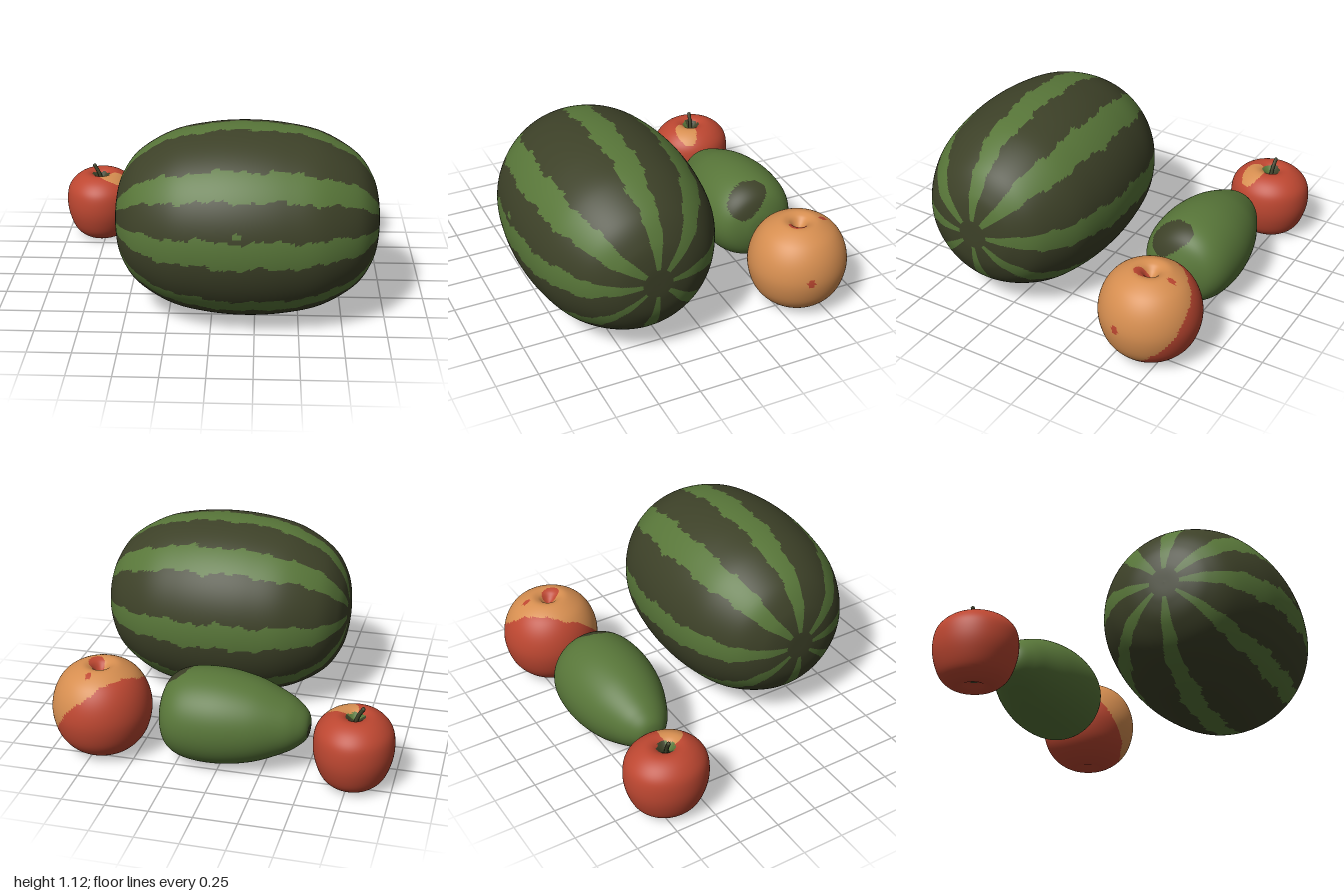
import * as THREE from 'three';

const flat = (name, color) => new THREE.MeshStandardMaterial({ name, color });

// Irregular wobble for the ragged edges of skin markings
const wobble = (t, seed) =>
  0.45 * Math.sin(t * 17 + seed * 2.3) + 0.35 * Math.sin(t * 41 + seed * 4.1) + 0.25 * Math.sin(t * 83 + seed * 1.7);

const inEllipse = (a, b, ca, cb, ra, rb) => ((a - ca) / ra) ** 2 + ((b - cb) / rb) ** 2 < 1;

// Smooth lathed body; every face takes the material index that pick(centre) returns
function fruitBody(name, o) {
  const curve = new THREE.SplineCurve(o.profile.map(([r, h]) => new THREE.Vector2(r, h)));
  const pts = curve.getPoints(o.rings).map((p) => new THREE.Vector2(Math.max(p.x, 0), p.y));
  pts[0].x = pts[pts.length - 1].x = 0;
  const geo = new THREE.LatheGeometry(pts, o.sides);
  if (o.lying) geo.rotateZ(-Math.PI / 2);
  geo.scale(...(o.scale || [1, 1, 1]));
  geo.translate(...o.at);

  const pos = geo.attributes.position;
  const index = geo.index.array;
  const sorted = o.materials.map(() => []);
  const c = new THREE.Vector3();
  const v = new THREE.Vector3();
  for (let i = 0; i < index.length; i += 3) {
    c.set(0, 0, 0);
    for (let k = 0; k < 3; k++) c.addScaledVector(v.fromBufferAttribute(pos, index[i + k]), 1 / 3);
    sorted[o.pick(c)].push(index[i], index[i + 1], index[i + 2]);
  }
  geo.setIndex(sorted.flat());
  let start = 0;
  sorted.forEach((list, m) => {
    geo.addGroup(start, list.length, m);
    start += list.length;
  });
  const mesh = new THREE.Mesh(geo, o.materials);
  mesh.name = name;
  return mesh;
}

export function createModel() {
  const darkGreen = flat('darkGreen', 0x3d4128);
  const leafGreen = flat('leafGreen', 0x587639);
  const red = flat('red', 0xbd4731);
  const orange = flat('orange', 0xd68e50);

  const model = new THREE.Group();
  model.name = 'fruitSet';

  // Watermelon lying along x, with eight ragged light stripes: [angle, half width] in degrees
  const stripes = [[0, 8], [39, 9], [90, 8], [132, 9], [180, 8], [222, 7], [270, 7], [320, 6]];
  const melonAt = [0.2, 0.57, 0.365];
  model.add(fruitBody('watermelon', {
    profile: [[0, -0.755], [0.12, -0.75], [0.25, -0.715], [0.385, -0.62], [0.5, -0.43], [0.55, -0.22], [0.566, 0],
      [0.55, 0.22], [0.5, 0.43], [0.385, 0.62], [0.25, 0.715], [0.12, 0.75], [0, 0.755]],
    rings: 110, sides: 256, lying: true, at: melonAt, scale: [1, 0.99, 1.005],
    materials: [darkGreen, leafGreen],
    pick(p) {
      const y = p.y - melonAt[1];
      const z = p.z - melonAt[2];
      if (Math.hypot(y, z) < 0.09) return 0;
      if (z > 0 && inEllipse(p.x, p.y, 0.15, 0.68, 0.025, 0.02)) return 1;
      const angle = THREE.MathUtils.radToDeg(Math.atan2(y, z));
      return stripes.some(([centre, half], k) => {
        const d = ((angle - centre + 540) % 360) - 180;
        return Math.abs(d) < half + 2.3 * wobble(p.x, k * 2 + (d > 0 ? 1 : 0));
      }) ? 1 : 0;
    },
  }));

  // Green oval fruit, narrow towards -x, with a dark blotch and a dark tip
  model.add(fruitBody('greenFruit', {
    profile: [[0, -0.515], [0.07, -0.5], [0.125, -0.45], [0.175, -0.37], [0.245, -0.2], [0.28, 0], [0.268, 0.19],
      [0.21, 0.3], [0.1, 0.35], [0, 0.36]],
    rings: 72, sides: 96, lying: true, at: [0, 0.29, -0.61], scale: [1, 0.985, 1],
    materials: [leafGreen, darkGreen],
    pick(p) {
      const blotch = p.y > 0.29 && inEllipse(p.x, p.z, 0.27, -0.545, 0.075, 0.125);
      const tip = p.x < -0.4 && inEllipse(p.y, p.z, 0.27, -0.63, 0.04, 0.04);
      return blotch || tip ? 1 : 0;
    },
  }));

  // Peach: orange above, red on the low far side, with a dimple on top
  model.add(fruitBody('peach', {
    profile: [[0, 0.04], [0.06, 0.018], [0.12, 0.02], [0.2, 0.07], [0.26, 0.155], [0.288, 0.28], [0.268, 0.4],
      [0.21, 0.495], [0.12, 0.55], [0.065, 0.545], [0.028, 0.51], [0, 0.49]],
    rings: 80, sides: 112, at: [0.71, 0, -0.65], scale: [1, 1, 1.02],
    materials: [orange, red],
    pick(p) {
      const blush = -0.62 * (p.x - 0.71) - 0.62 * (p.y - 0.285) - 0.45 * (p.z + 0.65);
      if (blush > 0.014 * wobble((p.x - p.z) * 0.7, 3)) return 1;
      if (p.y > 0.4 && (inEllipse(p.x, p.z, 0.745, -0.62, 0.045, 0.055) || inEllipse(p.x, p.z, 0.735, -0.79, 0.016, 0.025))) return 1;
      return p.x > 0.9 && inEllipse(p.z, p.y, -0.585, 0.3, 0.025, 0.025) ? 1 : 0;
    },
  }));

  // Red apple with hollows at both ends and an orange patch beside the stem
  const apple = new THREE.Group();
  apple.name = 'apple';
  apple.add(fruitBody('appleBody', {
    profile: [[0, 0.055], [0.03, 0.045], [0.07, 0.018], [0.125, 0.018], [0.185, 0.07], [0.222, 0.16], [0.235, 0.25],
      [0.223, 0.34], [0.18, 0.4], [0.12, 0.435], [0.07, 0.433], [0.025, 0.4], [0, 0.38]],
    rings: 72, sides: 96, at: [-0.773, 0, -0.682], scale: [0.97, 1, 1.05],
    materials: [red, orange, darkGreen, leafGreen],
    pick(p) {
      const r = Math.hypot(p.x + 0.773, p.z + 0.682);
      if (p.y < 0.1) return r < 0.025 ? 2 : 0;
      if (p.y < 0.33) return 0;
      if (r < 0.055 + 0.008 * wobble(p.x * 2, 5)) return p.z > -0.665 ? 3 : 2;
      return inEllipse(p.x, p.z, -0.685, -0.605, 0.09 + 0.015 * wobble(p.z, 2), 0.065) ? 1 : 0;
    },
  }));

  // Curved stem
  const stemPath = new THREE.CatmullRomCurve3([
    new THREE.Vector3(-0.773, 0.375, -0.682),
    new THREE.Vector3(-0.79, 0.43, -0.685),
    new THREE.Vector3(-0.818, 0.48, -0.69),
  ]);
  const stem = new THREE.Mesh(new THREE.TubeGeometry(stemPath, 8, 0.012, 8), darkGreen);
  stem.name = 'appleStem';
  const stemEnd = new THREE.Mesh(new THREE.SphereGeometry(0.0125, 8, 6), darkGreen);
  stemEnd.position.copy(stemPath.getPoint(1));
  stemEnd.name = 'appleStemEnd';
  apple.add(stem, stemEnd);
  model.add(apple);

  return model;
}
